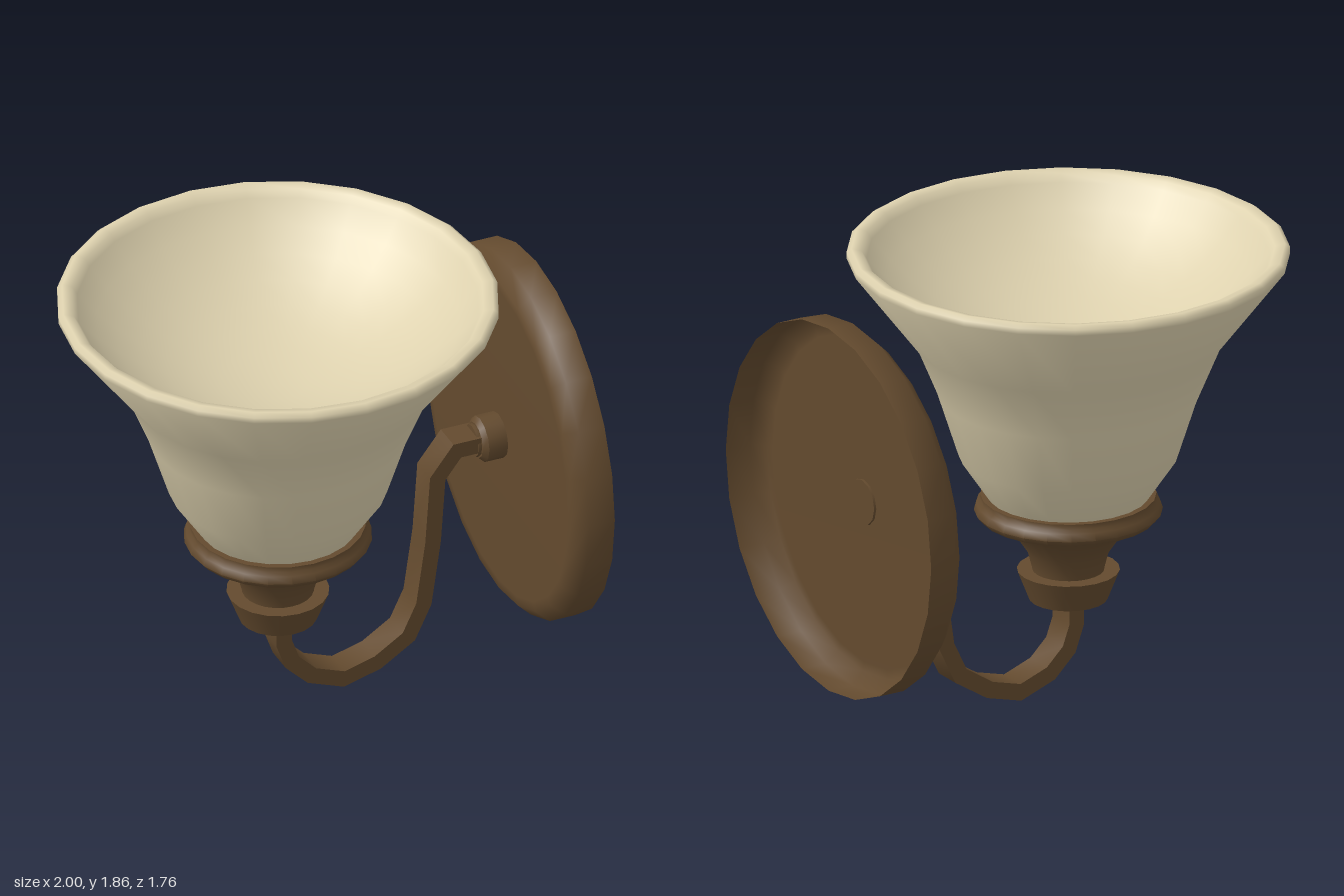
import * as THREE from 'three';
import { toCreasedNormals } from 'three/addons/utils/BufferGeometryUtils.js';

const cream = new THREE.MeshStandardMaterial({ color: 0xddd1ae });
cream.name = 'creamGlass';
const bronze = new THREE.MeshStandardMaterial({ color: 0x634a2e, side: THREE.DoubleSide });
bronze.name = 'bronze';

const SHADE_X = -0.12; // vertical axis of shade and holder
const PLATE_Y = 0.97; // horizontal axis of plate and knob

function turned(name, profile, sides, material, crease = 0.7) {
  const points = profile.map(([r, y]) => new THREE.Vector2(r, y));
  const geometry = toCreasedNormals(new THREE.LatheGeometry(points, sides), crease);
  const mesh = new THREE.Mesh(geometry, material);
  mesh.name = name;
  return mesh;
}

// Sweeps a rectangular section along a path in the xy plane
function sweptArm(path, halfThickness, halfWidth) {
  const pts = path.map(([x, y]) => new THREE.Vector2(x, y));
  const positions = [];
  const index = [];
  pts.forEach((p, i) => {
    const before = p.clone().sub(pts[Math.max(i - 1, 0)]).normalize();
    const after = pts[Math.min(i + 1, pts.length - 1)].clone().sub(p).normalize();
    const t = before.clone().add(after).normalize();
    const miter = halfThickness / Math.max(t.dot(after), t.dot(before));
    for (const [side, depth] of [[1, 1], [1, -1], [-1, -1], [-1, 1]]) {
      positions.push(p.x + side * t.y * miter, p.y - side * t.x * miter, depth * halfWidth);
    }
    if (i === 0) return;
    for (let j = 0; j < 4; j++) {
      const k = (j + 1) % 4;
      const a = (i - 1) * 4;
      const b = i * 4;
      index.push(a + j, a + k, b + k, a + j, b + k, b + j);
    }
  });
  const geometry = new THREE.BufferGeometry();
  geometry.setAttribute('position', new THREE.Float32BufferAttribute(positions, 3));
  geometry.setIndex(index);
  return toCreasedNormals(geometry, 0.9);
}

export function createModel() {
  const model = new THREE.Group();
  model.name = 'wallLamp';

  // Flared bell shade with a rolled rim and a rounded bowl inside
  const bowl = [];
  const bowlRadius = 1.04;
  const bowlEdge = Math.asin(0.8 / bowlRadius);
  for (let i = 0; i <= 8; i++) {
    const a = bowlEdge * (1 - i / 8);
    bowl.push([bowlRadius * Math.sin(a), 1.82 + bowlRadius * (Math.cos(bowlEdge) - Math.cos(a))]);
  }
  const shade = turned('shade', [
    [0.31, 0.79], [0.33, 0.82], [0.437, 0.98], [0.52, 1.24], [0.615, 1.47],
    [0.88, 1.82], [0.88, 1.845], [0.86, 1.86], [0.82, 1.85], ...bowl,
  ], 24, cream, 1.0);
  shade.position.x = SHADE_X;

  // Collar holding the shade, narrowing to a neck
  const collar = turned('collar', [
    [0.14, 0.47], [0.145, 0.5], [0.163, 0.57], [0.24, 0.685], [0.355, 0.72],
    [0.375, 0.745], [0.365, 0.775], [0.35, 0.788], [0.35, 0.81], [0.325, 0.81], [0.315, 0.79],
  ], 24, bronze, 1.0);
  collar.position.x = SHADE_X;

  // Small cup below the neck
  const cup = turned('cup', [
    [0, 0.345], [0.035, 0.345], [0.157, 0.367], [0.205, 0.49], [0.14, 0.49],
  ], 20, bronze);
  cup.position.x = SHADE_X;

  // Curved arm from the cup to the wall
  const arm = new THREE.Mesh(sweptArm([
    [-0.12, 0.37], [-0.12, 0.27], [-0.085, 0.172], [0, 0.088], [0.14, 0.036], [0.285, 0.076],
    [0.42, 0.163], [0.485, 0.3], [0.525, 0.58], [0.545, 0.87], [0.63, 0.98], [0.74, 0.98],
  ], 0.034, 0.0625), bronze);
  arm.name = 'arm';

  // Knob joining the arm to the plate, its end showing in the dish
  const knob = turned('knob', [
    [0, 0], [0.095, 0], [0.095, 0.091], [0.075, 0.111], [0.068, 0.111], [0.068, 0.126], [0, 0.126],
  ], 12, bronze);
  knob.rotation.z = Math.PI / 2;
  knob.position.set(0.846, PLATE_Y, 0);

  // Round wall plate, an open-backed dish with a bevelled front edge
  const plate = turned('wallPlate', [
    [0.77, 0], [0.77, 0.112], [0.72, 0.163], [0.68, 0.164], [0, 0.164],
  ], 24, bronze, 1.0);
  plate.rotation.z = Math.PI / 2;
  plate.position.set(1, PLATE_Y, 0);

  model.add(shade, collar, cup, arm, knob, plate);
  return model;
}
